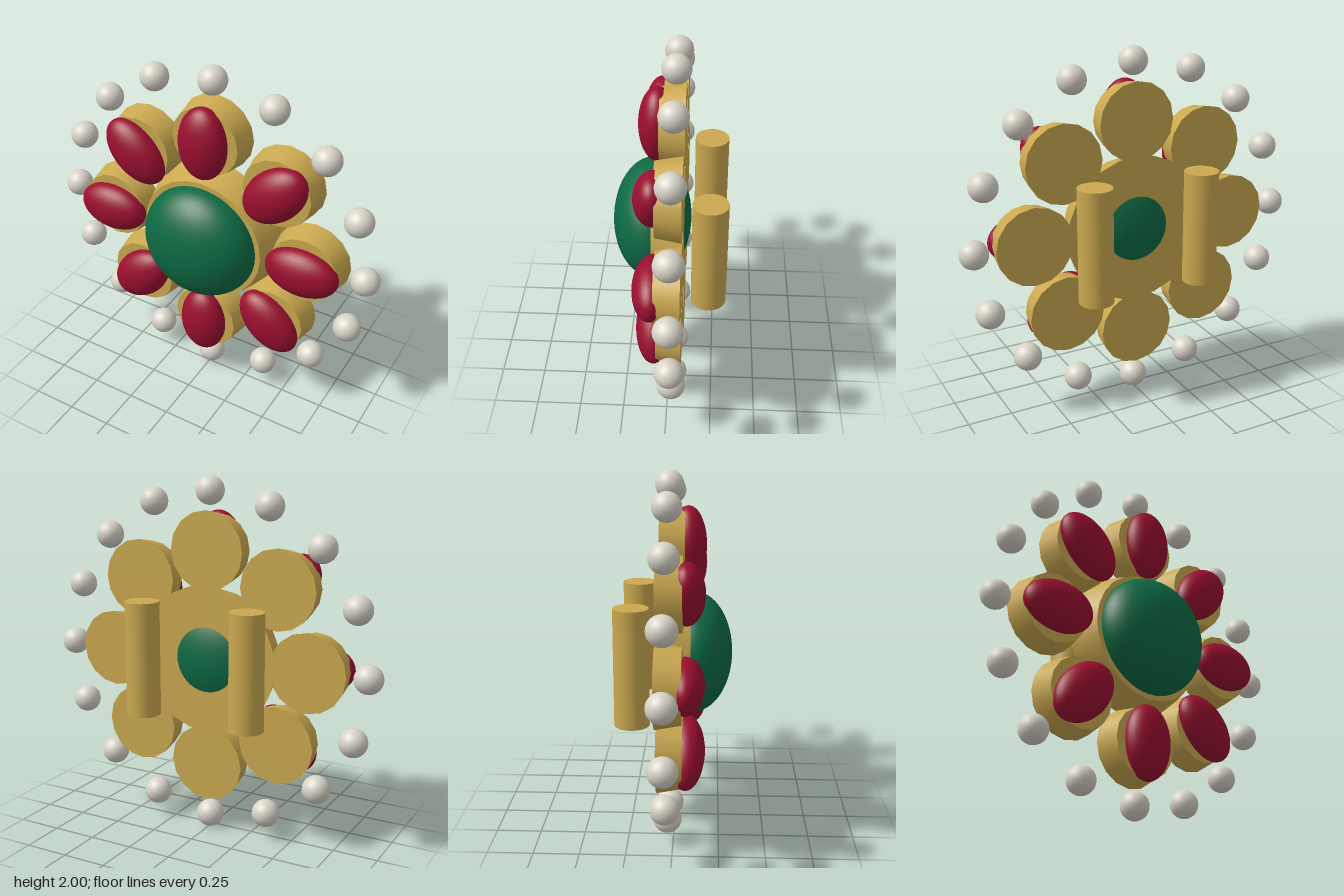
import * as THREE from 'three';

const material = (name, color) => {
  const m = new THREE.MeshStandardMaterial({ color });
  m.name = name;
  return m;
};

export function createModel() {
  const gold = material('gold', 0xcba950);
  const ruby = material('ruby red', 0x9b0f30);
  const emerald = material('emerald green', 0x0d6a43);
  const pearl = material('pearl white', 0xd8d4c8);

  const model = new THREE.Group();
  model.name = 'brooch';
  const add = (parent, name, geometry, mat, x, y, z) => {
    const mesh = new THREE.Mesh(geometry, mat);
    mesh.name = name;
    mesh.position.set(x, y, z);
    parent.add(mesh);
    return mesh;
  };

  // Everything radial sits around the centre at y = 1
  const flower = new THREE.Group();
  flower.name = 'flower';
  flower.position.y = 1;
  model.add(flower);

  // Tapered setting: narrower at the front, wider at the back
  const setting = (front, back, depth, sides) =>
    new THREE.CylinderGeometry(front, back, depth, sides).rotateX(Math.PI / 2);

  // Central setting and large domed stone
  add(flower, 'centreSetting', setting(0.365, 0.415, 0.17, 24), gold, 0, 0, 0.005);
  const dome = new THREE.SphereGeometry(1, 48, 32).rotateX(Math.PI / 2).scale(0.335, 0.335, 0.215);
  add(flower, 'centreStone', dome, emerald, 0, 0, 0.1);

  // Eight petals, each a setting with an oval stone pointing outwards
  const petalSetting = setting(0.195, 0.218, 0.135, 16);
  const oval = new THREE.SphereGeometry(1, 32, 24).scale(0.14, 0.21, 0.1);
  for (let i = 0; i < 8; i++) {
    const petal = new THREE.Group();
    petal.name = 'petal';
    petal.rotation.z = (i * Math.PI) / 4;
    add(petal, 'petalSetting', petalSetting, gold, 0, 0.6, -0.0125);
    add(petal, 'petalStone', oval, ruby, 0, 0.6, 0.07);
    flower.add(petal);
  }

  // Outer ring of sixteen pearls
  const bead = new THREE.SphereGeometry(0.078, 24, 16);
  for (let i = 0; i < 16; i++) {
    const a = (i * Math.PI) / 8;
    add(flower, 'pearl', bead, pearl, 0.92 * Math.cos(a), 0.92 * Math.sin(a), -0.03);
  }

  // Two upright rods behind
  const rod = new THREE.CylinderGeometry(0.095, 0.095, 0.64, 32);
  for (const side of [-1, 1]) add(model, 'backRod', rod, gold, side * 0.32, 1.005, -0.22);

  return model;
}
